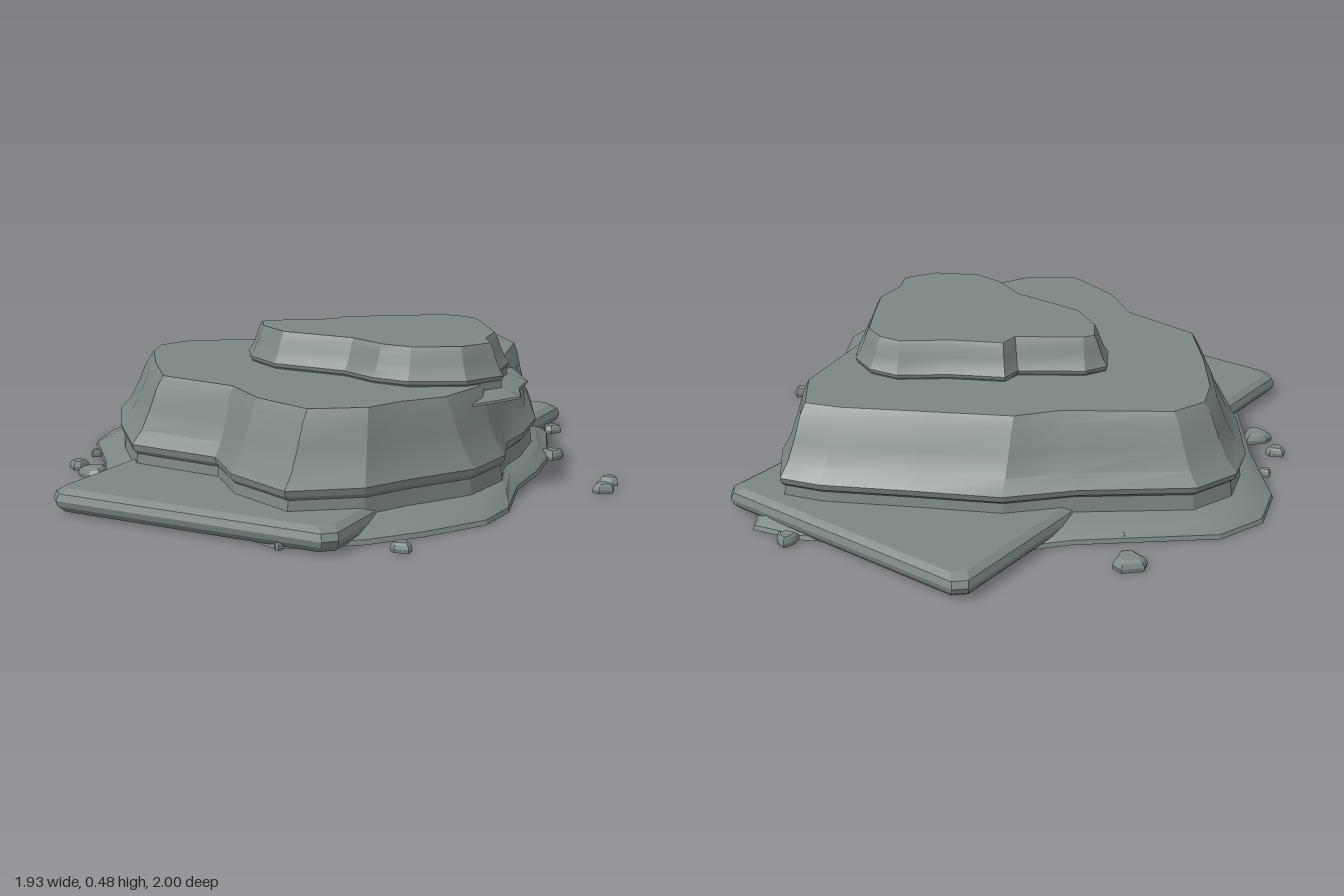
import * as THREE from 'three';
import { mergeVertices, toCreasedNormals } from 'three/addons/utils/BufferGeometryUtils.js';

const stone = new THREE.MeshStandardMaterial({ color: 0x7b8683, side: THREE.DoubleSide });
stone.name = 'grey stone';

// Lower cliff outline, anticlockwise from above: plateau x,z, ledge x,z, foot x,z
const CLIFF = [
  [0.28, -0.74, 0.28, -0.87, 0.30, -0.98], [0.17, -0.70, 0.15, -0.83, 0.14, -0.94],
  [-0.07, -0.56, -0.10, -0.69, -0.14, -0.78], [-0.31, -0.42, -0.36, -0.55, -0.42, -0.62],
  [-0.40, -0.30, -0.52, -0.37, -0.56, -0.45], [-0.69, -0.09, -0.81, -0.13, -0.91, -0.14],
  [-0.73, 0.03, -0.86, 0.03, -0.965, 0.03], [-0.68, 0.15, -0.81, 0.18, -0.91, 0.20],
  [-0.55, 0.33, -0.66, 0.39, -0.71, 0.42], [-0.39, 0.52, -0.45, 0.62, -0.50, 0.70],
  [-0.10, 0.56, -0.12, 0.64, -0.14, 0.73], [0.06, 0.68, 0.03, 0.79, 0.02, 0.88],
  [0.27, 0.75, 0.27, 0.89, 0.29, 0.98], [0.42, 0.65, 0.46, 0.75, 0.50, 0.83],
  [0.47, 0.53, 0.53, 0.61, 0.62, 0.68], [0.56, 0.41, 0.66, 0.40, 0.735, 0.49],
  [0.59, 0.22, 0.68, 0.20, 0.745, 0.33], [0.56, 0.05, 0.62, 0.03, 0.68, 0.08],
  [0.52, -0.10, 0.62, -0.13, 0.67, -0.13], [0.48, -0.27, 0.58, -0.35, 0.64, -0.32],
  [0.40, -0.60, 0.42, -0.72, 0.51, -0.68],
];

// Upper tier outline at its ledge
const TIER = [
  [0.27, -0.445], [0.165, -0.43], [0.03, -0.32], [-0.13, -0.23], [-0.13, -0.16], [-0.31, -0.03],
  [-0.345, 0.05], [-0.275, 0.16], [-0.13, 0.25], [0.14, 0.26], [0.27, 0.32], [0.40, 0.33],
  [0.56, 0.24], [0.63, 0.10], [0.58, 0.0], [0.56, -0.13], [0.455, -0.29], [0.375, -0.40],
];

// Wall profile: height fraction, blend (-1 plateau edge, 0 ledge, 1 foot)
const PROFILE = [
  [0, 1], [0.04, 0.95], [0.13, 0.3], [0.17, -0.1], [0.31, -0.16],
  [0.345, -0.04], [0.4, 0], [0.52, -0.3], [0.7, -0.56], [0.9, -0.8], [1, -1],
];

// Moves a closed outline outward by d
function offset(points, d) {
  const n = points.length;
  return points.map(([x, z], i) => {
    const a = points[(i + n - 1) % n], b = points[(i + 1) % n];
    const dx = b[0] - a[0], dz = b[1] - a[1], len = Math.hypot(dx, dz);
    return [x - (dz / len) * d, z + (dx / len) * d];
  });
}

// Joins rings of equal count and closes the last one with a cap
function loft(rings, capBottom = false) {
  const n = rings[0].length, index = [];
  for (let r = 0; r + 1 < rings.length; r++) {
    for (let i = 0; i < n; i++) {
      const a = r * n + i, b = r * n + (i + 1) % n;
      index.push(a, b, b + n, a, b + n, a + n);
    }
  }
  const cap = (r, flip) => {
    const contour = rings[r].map(([x, , z]) => new THREE.Vector2(x, -z));
    for (const [a, b, c] of THREE.ShapeUtils.triangulateShape(contour, [])) {
      index.push(r * n + a, r * n + (flip ? c : b), r * n + (flip ? b : c));
    }
  };
  cap(rings.length - 1, false);
  if (capBottom) cap(0, true);
  const g = new THREE.BufferGeometry();
  g.setAttribute('position', new THREE.Float32BufferAttribute(rings.flat(2), 3));
  g.setIndex(index);
  return toCreasedNormals(mergeVertices(g), 0.3);
}

// Rock layer with an undercut ledge and a flared foot, open below
function terrace(top, ledge, foot, y0, height) {
  return loft(PROFILE.map(([f, t]) => ledge.map(([x, z], i) => {
    const to = t < 0 ? top[i] : foot[i], k = Math.abs(t);
    return [x + (to[0] - x) * k, y0 + f * height, z + (to[1] - z) * k];
  })));
}

// Rectangular slab with cut corners and bevelled edges
function slab(x0, x1, z0, z1, y0, y1, bevel) {
  const ring = (y, inset) => {
    const a = x0 + inset, b = x1 - inset, c = z0 + inset, d = z1 - inset, k = 0.035;
    return [[b - k, y, c], [a + k, y, c], [a, y, c + k], [a, y, d - k],
      [a + k, y, d], [b - k, y, d], [b, y, d - k], [b, y, c + k]];
  };
  const h = y1 - y0;
  return loft([ring(y0, bevel * 0.7), ring(y0 + h * 0.25, bevel * 0.15), ring(y0 + h * 0.5, 0),
    ring(y0 + h * 0.8, bevel * 0.25), ring(y1, bevel)], true);
}

// Small lumpy stone with a flattened top
function pebble(radius, height, turn) {
  const ring = (y, s) => Array.from({ length: 9 }, (_, i) => {
    const a = -(i / 9) * Math.PI * 2 + turn;
    const r = radius * s * (0.86 + 0.16 * Math.cos(3 * a + turn));
    return [Math.cos(a) * r, y, Math.sin(a) * r];
  });
  return loft([ring(0, 0.95), ring(height * 0.4, 1), ring(height * 0.8, 0.85), ring(height, 0.6)], true);
}

// Pebble x, z, radius
const PEBBLES = [
  [0.16, -0.97, 0.04], [0.50, -0.76, 0.038], [0.635, -0.38, 0.045], [-0.77, -0.45, 0.06],
  [0.92, -0.13, 0.035], [0.93, -0.03, 0.04], [-0.81, 0.335, 0.022], [-0.76, 0.50, 0.037],
  [-0.65, 0.56, 0.055], [0.615, 0.83, 0.035], [-0.66, -0.32, 0.025], [0.30, 0.98, 0.015],
];

export function createModel() {
  const model = new THREE.Group();
  model.name = 'terracedRock';
  const add = (name, geometry) => {
    const mesh = new THREE.Mesh(geometry, stone);
    mesh.name = name;
    model.add(mesh);
    return mesh;
  };

  // Main cliff and the smaller terrace on it
  const column = (k) => CLIFF.map((row) => [row[k], row[k + 1]]);
  add('lowerCliff', terrace(column(0), column(2), column(4), 0, 0.36));
  add('upperTerrace', terrace(offset(TIER, -0.05), TIER, offset(TIER, 0.065), 0.31, 0.17));

  // Flat slab under the rock
  add('baseSlab', slab(-0.51, 0.48, -0.935, 0.99, 0.008, 0.08, 0.03));

  // Scattered stones
  PEBBLES.forEach(([x, z, r], i) => {
    add('pebble' + (i + 1), pebble(r, 0.018 + r * 0.3, i * 1.3)).position.set(x, 0, z);
  });
  return model;
}
